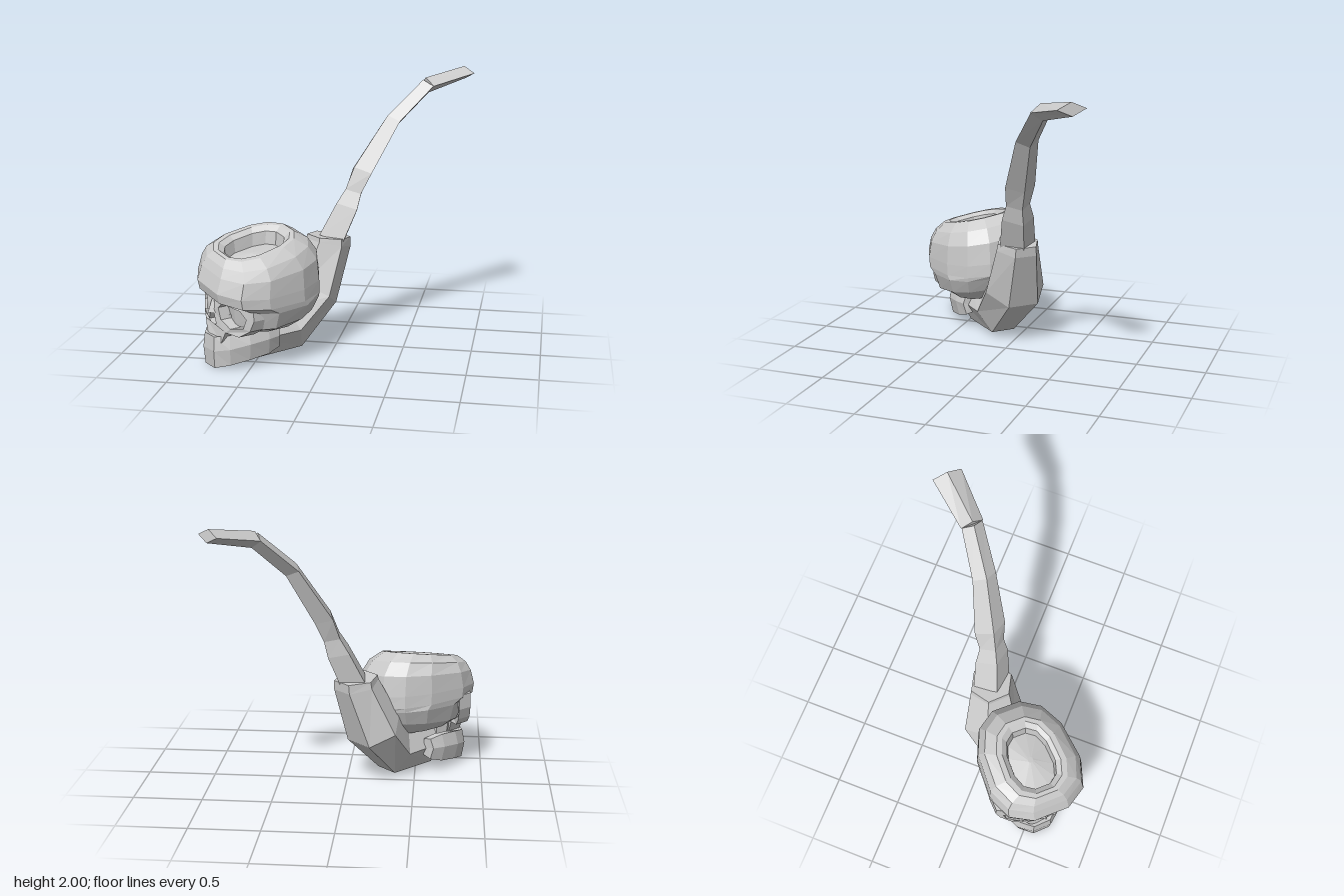
import * as THREE from 'three';

const material = new THREE.MeshStandardMaterial({ color: 0xcccccc, flatShading: true, side: THREE.DoubleSide });

// Skin a list of equal-length rings, capped with centre fans.
function loft(name, rings) {
  const n = rings[0].length, pos = [], idx = [];
  rings.forEach(r => r.forEach(p => pos.push(p.x, p.y, p.z)));
  for (let i = 0; i < rings.length - 1; i++)
    for (let j = 0; j < n; j++) {
      const a = i * n + j, b = i * n + (j + 1) % n;
      idx.push(a, b, b + n, a, b + n, a + n);
    }
  const cap = (i, flip) => {
    const c = new THREE.Vector3();
    rings[i].forEach(p => c.addScaledVector(p, 1 / n));
    const k = pos.length / 3;
    pos.push(c.x, c.y, c.z);
    for (let j = 0; j < n; j++) {
      const a = i * n + j, b = i * n + (j + 1) % n;
      idx.push(...(flip ? [b, a, k] : [a, b, k]));
    }
  };
  cap(0, true);
  cap(rings.length - 1, false);
  const g = new THREE.BufferGeometry();
  g.setAttribute('position', new THREE.Float32BufferAttribute(pos, 3));
  g.setIndex(idx);
  g.computeVertexNormals();
  return named(name, g);
}

function named(name, geometry) {
  const m = new THREE.Mesh(geometry, material);
  m.name = name;
  return m;
}

// Faceted tube; stations are [z, y, x, half width, half thickness].
function tube(name, stations, sides) {
  const X = new THREE.Vector3(1, 0, 0);
  const at = i => {
    const s = stations[Math.max(0, Math.min(stations.length - 1, i))];
    return new THREE.Vector3(0, s[1], s[0]);
  };
  return loft(name, stations.map(([z, y, x, w, t], i) => {
    const before = at(i).sub(at(i - 1)).normalize(), after = at(i + 1).sub(at(i)).normalize();
    const N = before.add(after).normalize().cross(X);
    return Array.from({ length: sides }, (_, j) => {
      const a = j / sides * Math.PI * 2;
      return new THREE.Vector3(x, y, z).addScaledVector(X, w * Math.cos(a)).addScaledVector(N, t * Math.sin(a));
    });
  }));
}

// Sideways roll of the skull: the model's left sits lower.
const ROLL = 0.15;

// Boxy ring, tilted so that its back is higher and widening to the front.
function skullRing([y, back, front, w, tilt]) {
  const soft = v => Math.sign(v) * Math.abs(v) ** 0.8 * 1.02;
  return Array.from({ length: 12 }, (_, j) => {
    const a = (j + 0.5) / 12 * Math.PI * 2;
    const dz = -soft(Math.sin(a)) * (front - back) / 2;
    const x = w * soft(Math.cos(a)) * (1 + 0.25 * dz);
    return new THREE.Vector3(x, y - tilt * dz - ROLL * x, (front + back) / 2 + dz);
  });
}

// Closed path from a half outline, mirrored in x.
function mirrored(half) {
  const pts = [...half, ...half.map(([x, y]) => [-x, y]).reverse()];
  return pts.map(([x, y]) => new THREE.Vector2(x, y));
}

export function createModel() {
  const pipe = new THREE.Group();
  pipe.name = 'skullPipe';
  pipe.rotation.y = -Math.PI / 4;
  pipe.position.set(-0.05, 0, -0.05);

  // Mouth stem: diamond section, waisted, with a flat mouthpiece
  pipe.add(tube('stem', [
    [-0.015, 0.78, -0.02, 0.145, 0.115],
    [-0.12, 1.02, 0.03, 0.127, 0.1],
    [-0.163, 1.13, 0.05, 0.095, 0.075],
    [-0.23, 1.28, 0.066, 0.117, 0.08],
    [-0.46, 1.645, 0.127, 0.087, 0.06],
    [-0.745, 1.885, 0.165, 0.077, 0.055],
  ], 4));
  pipe.add(tube('mouthpiece', [
    [-0.745, 1.885, 0.165, 0.082, 0.058],
    [-1.13, 1.955, 0.145, 0.107, 0.046],
  ], 4));

  // Shank: six-sided elbow under the bowl, widest at the bend
  pipe.add(tube('shank', [
    [0.7, 0.18, -0.03, 0.16, 0.185],
    [0.36, 0.19, -0.045, 0.185, 0.2],
    [0.135, 0.41, -0.07, 0.24, 0.2],
    [0.005, 0.76, -0.028, 0.17, 0.165],
    [0.0, 0.81, -0.028, 0.162, 0.16],
  ], 6));

  // Cranium with the bowl opening: [y, back, front, half width, tilt]
  pipe.add(loft('cranium', [
    [0.3, 0.36, 0.85, 0.22, 0],
    [0.37, 0.25, 0.89, 0.31, 0.1],
    [0.49, 0.2, 0.91, 0.35, 0.03],
    [0.53, 0.18, 1.03, 0.36, 0],
    [0.61, 0.18, 1.045, 0.36, 0.03],
    [0.74, 0.2, 1.01, 0.35, 0.1],
    [0.82, 0.27, 0.98, 0.31, 0.16],
    [0.87, 0.37, 0.94, 0.235, 0.21],
    [0.87, 0.4, 0.91, 0.195, 0.21],
    [0.84, 0.44, 0.87, 0.16, 0.21],
    [0.75, 0.45, 0.86, 0.15, 0.2],
    [0.78, 0.63, 0.67, 0.02, 0.1],
  ].map(skullRing)));

  // Face plate with eye and nose openings, bent round the front
  const face = new THREE.Shape(mirrored([
    [0.1, 0.56], [0.22, 0.57], [0.33, 0.55], [0.335, 0.44], [0.31, 0.36],
    [0.24, 0.3], [0.14, 0.3], [0.1, 0.21], [0.04, 0.2],
  ]));
  const eye = [[0.075, 0.46], [0.11, 0.5], [0.25, 0.49], [0.29, 0.44], [0.27, 0.37], [0.18, 0.34], [0.1, 0.38]];
  for (const side of [1, -1])
    face.holes.push(new THREE.Path(eye.map(([x, y]) => new THREE.Vector2(side * x, y))));
  face.holes.push(new THREE.Path(mirrored([[0.015, 0.42], [0.05, 0.33], [0.02, 0.32]])));
  const plate = new THREE.ExtrudeGeometry(face, { depth: 0.12, bevelEnabled: false });
  const p = plate.attributes.position;
  for (let i = 0; i < p.count; i++) {
    const x = p.getX(i);
    p.setY(i, p.getY(i) - ROLL * x);
    p.setZ(i, p.getZ(i) + 0.87 - 1.25 * x * x);
  }
  plate.computeVertexNormals();

  // Nose bridge and the upper jaw behind the face plate
  const bridge = new THREE.ConeGeometry(0.045, 0.12, 4);
  bridge.translate(0, 0.46, 0.98);
  const upperJaw = new THREE.CylinderGeometry(0.13, 0.1, 0.2, 8);
  upperJaw.translate(0, 0.29, 0.83);

  // Lower jaw: U-shaped, [x, z, bottom, top]
  const half = [
    [0.21, 0.55, 0.11, 0.27], [0.23, 0.65, 0.08, 0.29], [0.22, 0.8, 0.06, 0.28],
    [0.165, 0.93, 0.03, 0.25], [0.07, 1.005, 0, 0.23],
  ];
  const path = [...half, ...half.map(([x, ...r]) => [-x, ...r]).reverse()];
  const lowerJaw = loft('lowerJaw', path.map(([x, z, lo, hi]) => {
    const v = (k, y, dz) => new THREE.Vector3(x * k, y, z - dz);
    const mid = lo + (hi - lo) * 0.55, dz = (z - 0.5) * 0.16;
    return [v(0.95, lo, 0), v(1.06, mid, -0.01), v(0.95, hi, 0), v(0.65, hi - 0.01, dz), v(0.65, lo + 0.02, dz)];
  }));
  lowerJaw.position.x = -0.02;

  // The face sits slightly to the right of the bowl
  const head = new THREE.Group();
  head.name = 'skullFace';
  head.position.x = -0.03;
  head.add(named('face', plate), named('noseBridge', bridge), named('upperJaw', upperJaw), lowerJaw);
  pipe.add(head);

  const model = new THREE.Group();
  model.name = 'model';
  model.add(pipe);
  return model;
}
